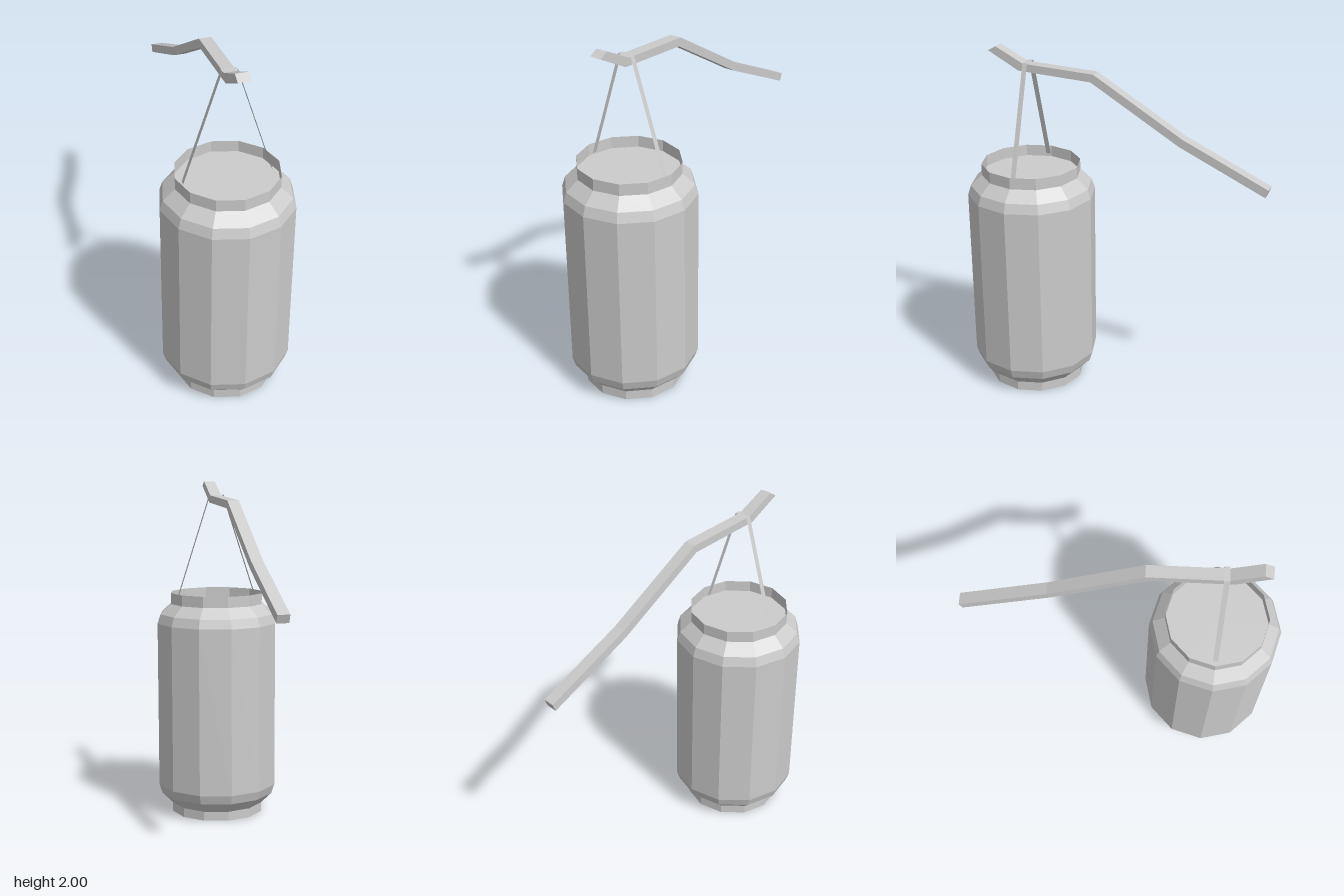
import * as THREE from 'three';

const SIDES = 12;
const CENTRE_Z = 0.51;

function part(name, geometry, material) {
  const mesh = new THREE.Mesh(geometry, material);
  mesh.name = name;
  return mesh;
}

const vectors = (points) => points.map(([x, y]) => new THREE.Vector2(x, y));

export function createModel() {
  const model = new THREE.Group();
  model.name = 'hangingLantern';
  const solid = new THREE.MeshStandardMaterial({ color: 0xcccccc, flatShading: true });
  const thin = new THREE.MeshStandardMaterial({ color: 0xcccccc, flatShading: true, side: THREE.DoubleSide });

  const lantern = new THREE.Group();
  lantern.name = 'lantern';
  lantern.position.z = CENTRE_Z;
  model.add(lantern);

  // Closed base and foot ring, rounded shoulders
  const bodyProfile = vectors([
    [0, 0], [0.28, 0], [0.28, 0.055], [0.345, 0.12], [0.363, 0.175],
    [0.363, 1.165], [0.345, 1.22], [0.28, 1.28],
  ]);
  lantern.add(part('body', new THREE.LatheGeometry(bodyProfile, SIDES), solid));

  // Thin open collar around a recessed lid
  const collarProfile = vectors([[0.28, 1.28], [0.28, 1.345]]);
  lantern.add(part('collar', new THREE.LatheGeometry(collarProfile, SIDES), thin));
  const lid = new THREE.CircleGeometry(0.28, SIDES).rotateX(-Math.PI / 2).translate(0, 1.28, 0);
  lantern.add(part('lid', lid, thin));

  // Flat ribbon handle looped over the stick
  const ribbonPath = [[-0.24, 1.31], [-0.04, 1.925], [0.04, 1.925], [0.24, 1.31]];
  const ribbon = new THREE.PlaneGeometry(1, 0.028, ribbonPath.length - 1, 1).rotateX(-Math.PI / 2);
  const pos = ribbon.attributes.position;
  for (let i = 0; i < pos.count; i++) {
    const [x, y] = ribbonPath[i % ribbonPath.length];
    pos.setXY(i, x, y);
  }
  ribbon.computeVertexNormals();
  lantern.add(part('handle', ribbon, thin));

  // Bent carrying stick, drawn as (z, y) and extruded across x
  const stickOutline = vectors([
    [0.733, 1.974], [0.553, 1.877], [0.13, 1.856], [-0.373, 1.556], [-0.854, 1.334],
    [-0.87, 1.378], [-0.389, 1.6], [0.114, 1.9], [0.526, 1.919], [0.687, 2],
  ]);
  const width = 0.066;
  const stick = new THREE.ExtrudeGeometry(new THREE.Shape(stickOutline), { depth: width, bevelEnabled: false });
  stick.translate(0, 0, -width / 2).rotateY(-Math.PI / 2);
  model.add(part('stick', stick, solid));

  return model;
}
